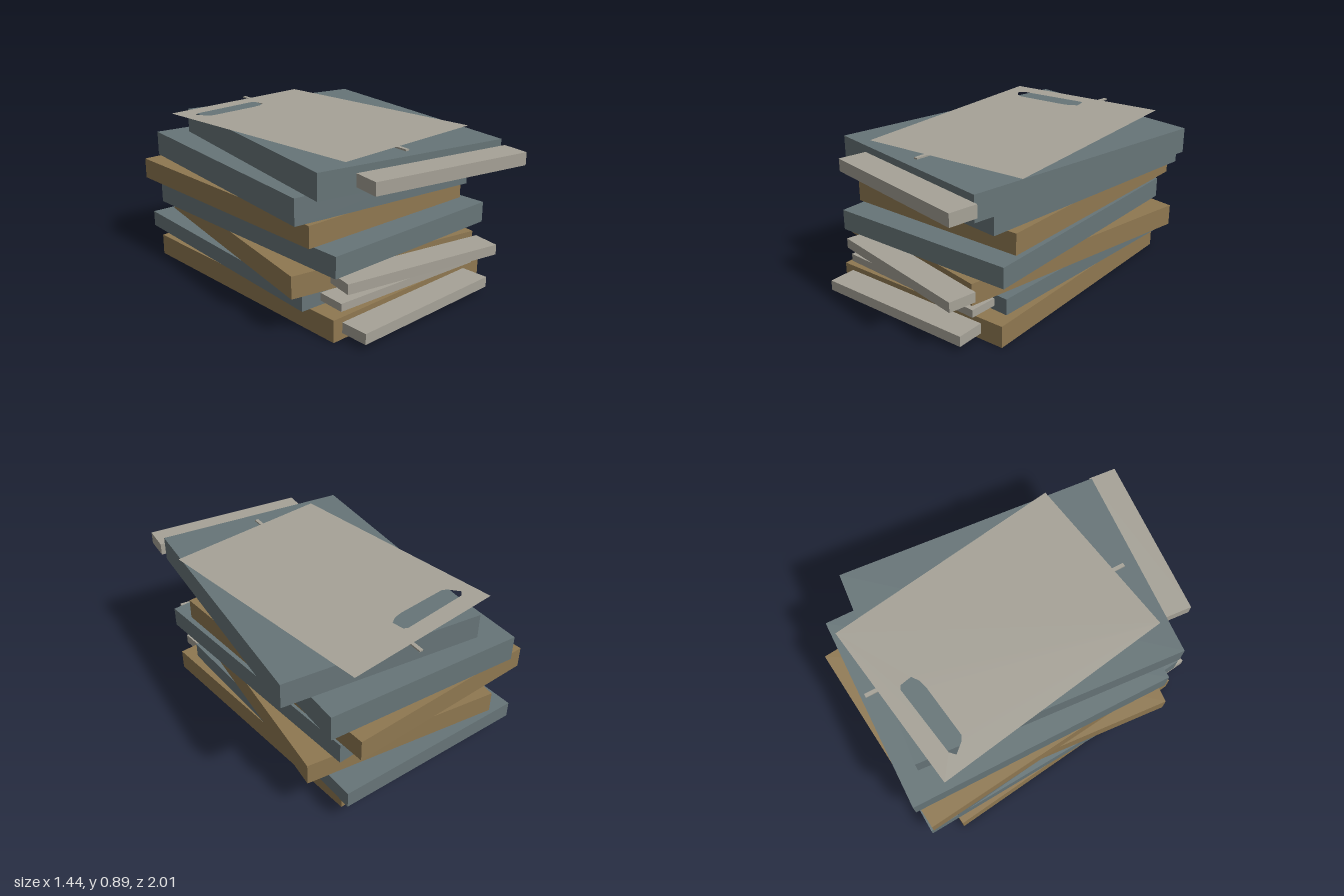
import * as THREE from 'three';

const brown = new THREE.MeshStandardMaterial({ color: 0x8f7851, side: THREE.DoubleSide });
brown.name = 'brownCover';
const slate = new THREE.MeshStandardMaterial({ color: 0x677578, side: THREE.DoubleSide });
slate.name = 'slateCover';
const paper = new THREE.MeshStandardMaterial({ color: 0xa6a297, side: THREE.DoubleSide });
paper.name = 'paleCard';

const WIDTH = 1.17, DEPTH = 1.56;

// Stacked slabs, bottom to top: y range, centre, yaw, optional front tab [x, z, y0, y1]
const LAYERS = [
  { y: [0, 0.125], c: [-0.045, -0.02], yaw: 0.106, mat: brown, tab: [0.007, 0.842, 0.035, 0.095] },
  { y: [0.125, 0.22], c: [-0.06, -0.16], yaw: 0.041, mat: slate, tab: [-0.007, 0.705, 0.153, 0.197] },
  { y: [0.22, 0.345], c: [-0.032, -0.065], yaw: -0.093, mat: brown, tab: [0.017, 0.805, 0.255, 0.313] },
  { y: [0.345, 0.465], c: [-0.03, -0.022], yaw: 0.104, mat: slate },
  { y: [0.465, 0.588], c: [-0.067, -0.17], yaw: 0.09, mat: brown },
  { y: [0.588, 0.735], c: [-0.04, -0.14], yaw: -0.0225, mat: slate },
  { y: [0.735, 0.88], c: [0.07, 0.008], yaw: -0.09, mat: slate, tab: [0.117, 0.88, 0.77, 0.842] },
];

function block(name, mat, w, d, [y0, y1], [x, z], yaw) {
  const mesh = new THREE.Mesh(new THREE.BoxGeometry(w, y1 - y0, d), mat);
  mesh.name = name;
  mesh.position.set(x, (y0 + y1) / 2, z);
  mesh.rotation.y = yaw;
  return mesh;
}

// Points are [x, z] on the ground plan; the shape is laid flat later
const plan = (pts) => pts.map(([x, z]) => new THREE.Vector2(x, -z));

export function createModel() {
  const model = new THREE.Group();
  model.name = 'stackedBoxes';

  LAYERS.forEach((l, i) => {
    const box = block(`box${i + 1}`, l.mat, WIDTH, DEPTH, l.y, l.c, l.yaw);
    if (i === 0) {
      // The lowest box has no underside
      const idx = Array.from(box.geometry.index.array);
      idx.splice(18, 6);
      box.geometry.setIndex(idx);
      box.geometry.clearGroups();
    }
    // A slight forward sag of the second box
    if (i === 1) box.rotateX(0.002);
    model.add(box);
    if (l.tab) {
      const [x, z, y0, y1] = l.tab;
      model.add(block(`frontTab${i + 1}`, paper, 0.972, 0.165, [y0, y1], [x, z], l.yaw));
    }
  });

  // Thin strip running under the top sheet
  model.add(block('strip', paper, 0.022, 1.6, [0.88, 0.889], [0.013, -0.09], 0));

  // Top sheet with a long cut-out
  const sheetShape = new THREE.Shape(plan([[-0.6, -0.73], [-0.385, 0.7], [0.625, 0.55], [0.41, -0.88]]));
  sheetShape.holes.push(new THREE.Path(plan([
    [-0.5, -0.61], [-0.47, -0.64], [-0.05, -0.71], [-0.025, -0.7], [-0.01, -0.63],
    [-0.05, -0.6], [-0.1, -0.585], [-0.42, -0.54], [-0.45, -0.555],
  ])));
  const sheet = new THREE.Mesh(new THREE.ShapeGeometry(sheetShape).rotateX(-Math.PI / 2), paper);
  sheet.name = 'topSheet';
  sheet.position.y = 0.89;
  model.add(sheet);

  return model;
}
